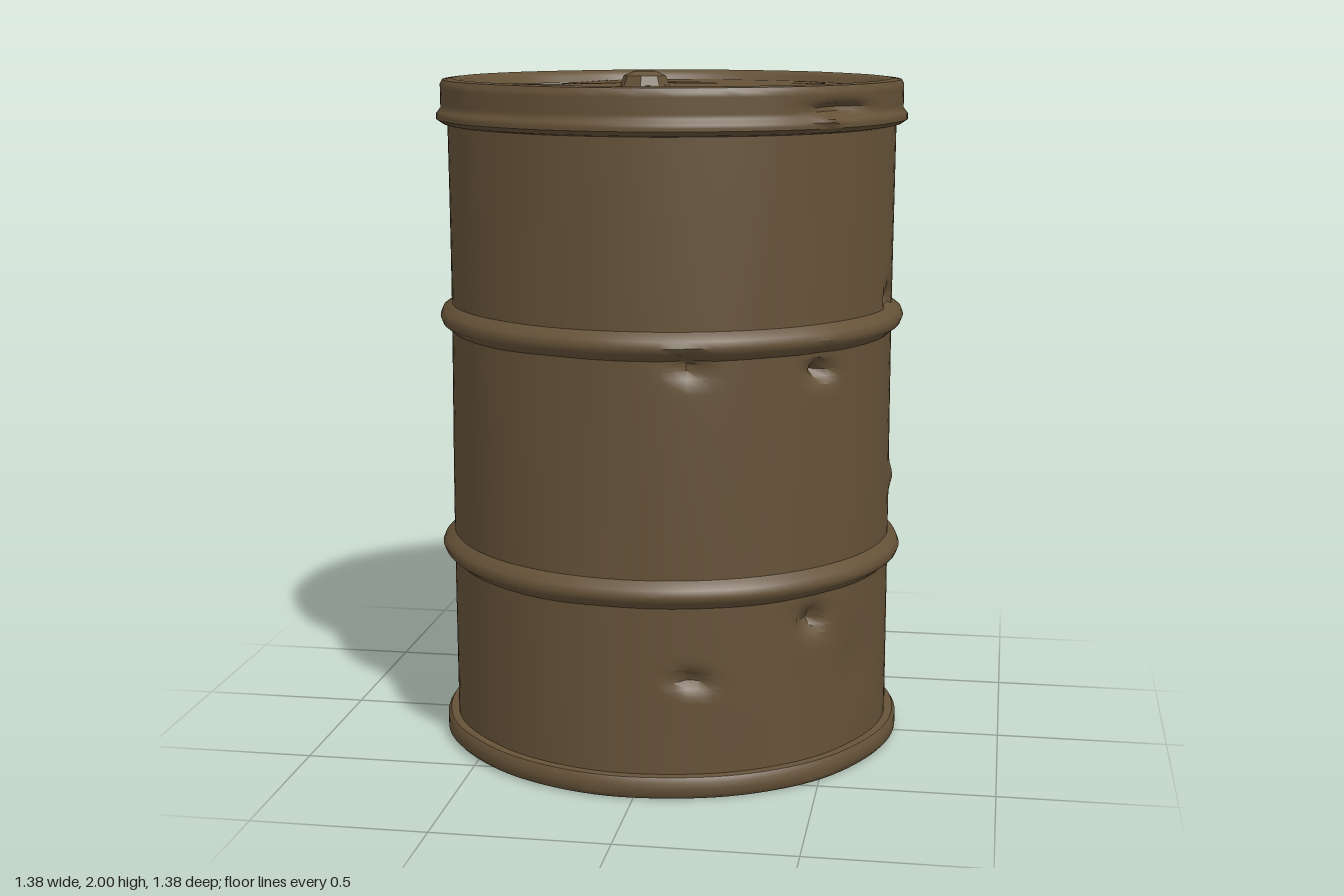
import * as THREE from 'three';
import { mergeVertices, toCreasedNormals } from 'three/addons/utils/BufferGeometryUtils.js';

const SEGMENTS = 112;

// Dents: [x, y, z, width, height, depth]; negative depth bulges outward.
const wallDents = [
  [0.15, 1.215, 0.64, 0.035, 0.03, 0.045],
  [0.49, 1.185, 0.435, 0.035, 0.03, 0.06],
  [0.49, 1.215, 0.435, 0.04, 0.015, -0.012],
  [0.65, 1.34, 0.07, 0.035, 0.03, 0.045],
  [0.48, 0.47, 0.445, 0.035, 0.035, 0.06],
  [0.16, 0.335, 0.635, 0.04, 0.025, 0.045],
  [0.58, 0.3, 0.3, 0.05, 0.1, 0.01],
  [0.655, 0.79, -0.03, 0.03, 0.03, -0.012],
];
const rimDents = [
  [0.54, 1.9, 0.41, 0.09, 0.014, 0.05],
  [0.5, 1.875, 0.46, 0.025, 0.012, -0.02],
  [0.52, 1.92, -0.44, 0.12, 0.06, 0.012],
  [-0.45, 1.92, -0.5, 0.12, 0.05, 0.01],
];
// Lid marks: [x, z, widthX, widthZ, depth]
const lidDents = [
  [0.0, -0.27, 0.05, 0.02, 0.015],
  [0.37, -0.36, 0.025, 0.035, 0.02],
  [-0.52, -0.02, 0.03, 0.035, 0.02],
  [-0.45, 0.15, 0.02, 0.05, 0.01],
  [-0.42, -0.38, 0.16, 0.14, 0.012],
  [0.4, 0.4, 0.15, 0.15, 0.01],
];

// Radial dents plus a gentle waviness of the sheet metal
function dentSide(dents, wave) {
  return (p) => {
    const r = Math.hypot(p.x, p.z);
    if (r < 0.58) return;
    const a = Math.atan2(p.x, p.z);
    let push = wave * (Math.sin(a * 7 + p.y * 3) + Math.sin(a * 13 - p.y * 5) * 0.6);
    for (const [x, y, z, w, h, depth] of dents) {
      let da = a - Math.atan2(x, z);
      da = Math.atan2(Math.sin(da), Math.cos(da)) * r;
      push += depth * Math.exp(-((da / w) ** 2) - ((p.y - y) / h) ** 2);
    }
    const k = (r - push) / r;
    p.x *= k;
    p.z *= k;
  };
}

function dentLid(p) {
  for (const [x, z, w, d, depth] of lidDents) {
    p.y -= depth * Math.exp(-(((p.x - x) / w) ** 2) - ((p.z - z) / d) ** 2);
  }
}

// Split a profile into steps no longer than the given length
function subdivide(points, step) {
  const out = [new THREE.Vector2(...points[0])];
  for (let i = 1; i < points.length; i++) {
    const a = new THREE.Vector2(...points[i - 1]);
    const b = new THREE.Vector2(...points[i]);
    const n = Math.max(1, Math.ceil(a.distanceTo(b) / step));
    for (let j = 1; j <= n; j++) out.push(a.clone().lerp(b, j / n));
  }
  return out;
}

function turned(name, profile, step, material, deform) {
  let geo = new THREE.LatheGeometry(subdivide(profile, step), SEGMENTS, Math.PI);
  geo.deleteAttribute('uv');
  geo.deleteAttribute('normal');
  const pos = geo.attributes.position;
  const p = new THREE.Vector3();
  for (let i = 0; i < pos.count; i++) {
    p.fromBufferAttribute(pos, i);
    if (deform) deform(p);
    pos.setXYZ(i, p.x, p.y, p.z);
  }
  geo = toCreasedNormals(mergeVertices(geo, 1e-5), 0.75);
  const mesh = new THREE.Mesh(geo, material);
  mesh.name = name;
  return mesh;
}

export function createModel() {
  const group = new THREE.Group();
  group.name = 'barrel';
  const metal = new THREE.MeshStandardMaterial({ color: 0x655238 });
  metal.name = 'rustyBrownMetal';

  // Body wall with its bullet dents
  group.add(turned('wall', [[0.655, 0.05], [0.655, 1.86]], 0.02, metal, dentSide(wallDents, 0.0015)));

  // Two rolled hoops
  for (const [name, y] of [['lowerHoop', 0.585], ['upperHoop', 1.275]]) {
    const hoop = [[0.645, y - 0.05], [0.66, y - 0.035], [0.682, y - 0.018], [0.689, y],
      [0.682, y + 0.018], [0.66, y + 0.035], [0.645, y + 0.05]];
    group.add(turned(name, hoop, 0.03, metal, dentSide(wallDents.slice(0, 2), 0.002)));
  }

  // Bottom chime and base plate
  group.add(turned('bottomRim', [[0.64, 0.008], [0.655, 0], [0.675, 0.002], [0.687, 0.015],
    [0.687, 0.05], [0.678, 0.064], [0.645, 0.066]], 0.03, metal, dentSide([], 0.0015)));
  group.add(turned('basePlate', [[0, 0.008], [0.66, 0.008]], 0.2, metal));

  // Top closing ring
  group.add(turned('topRim', [[0.645, 1.832], [0.67, 1.838], [0.687, 1.85], [0.687, 1.866],
    [0.674, 1.882], [0.674, 1.95], [0.667, 1.963], [0.64, 1.966], [0.622, 1.958], [0.605, 1.93]],
  0.012, metal, dentSide(rimDents, 0.0018)));

  // Lid, wound from the outer edge inward so it faces up
  group.add(turned('lid', [[0.63, 1.935], [0.58, 1.938], [0, 1.942]], 0.02, metal, dentLid));

  // Filler cap: flared skirt and faceted knob
  const cap = new THREE.Group();
  cap.name = 'fillerCap';
  const skirt = new THREE.Mesh(new THREE.CylinderGeometry(0.066, 0.085, 0.025, 16), metal);
  skirt.name = 'capSkirt';
  skirt.position.y = 1.95;
  const knob = new THREE.Mesh(
    toCreasedNormals(new THREE.CylinderGeometry(0.058, 0.068, 0.025, 8), 0.3), metal);
  knob.name = 'capKnob';
  knob.position.y = 1.975;
  const crown = new THREE.Mesh(
    toCreasedNormals(new THREE.CylinderGeometry(0.03, 0.058, 0.0125, 8), 0.3), metal);
  crown.name = 'capCrown';
  crown.position.y = 1.99375;
  cap.add(skirt, knob, crown);
  cap.position.z = 0.455;
  group.add(cap);

  return group;
}
